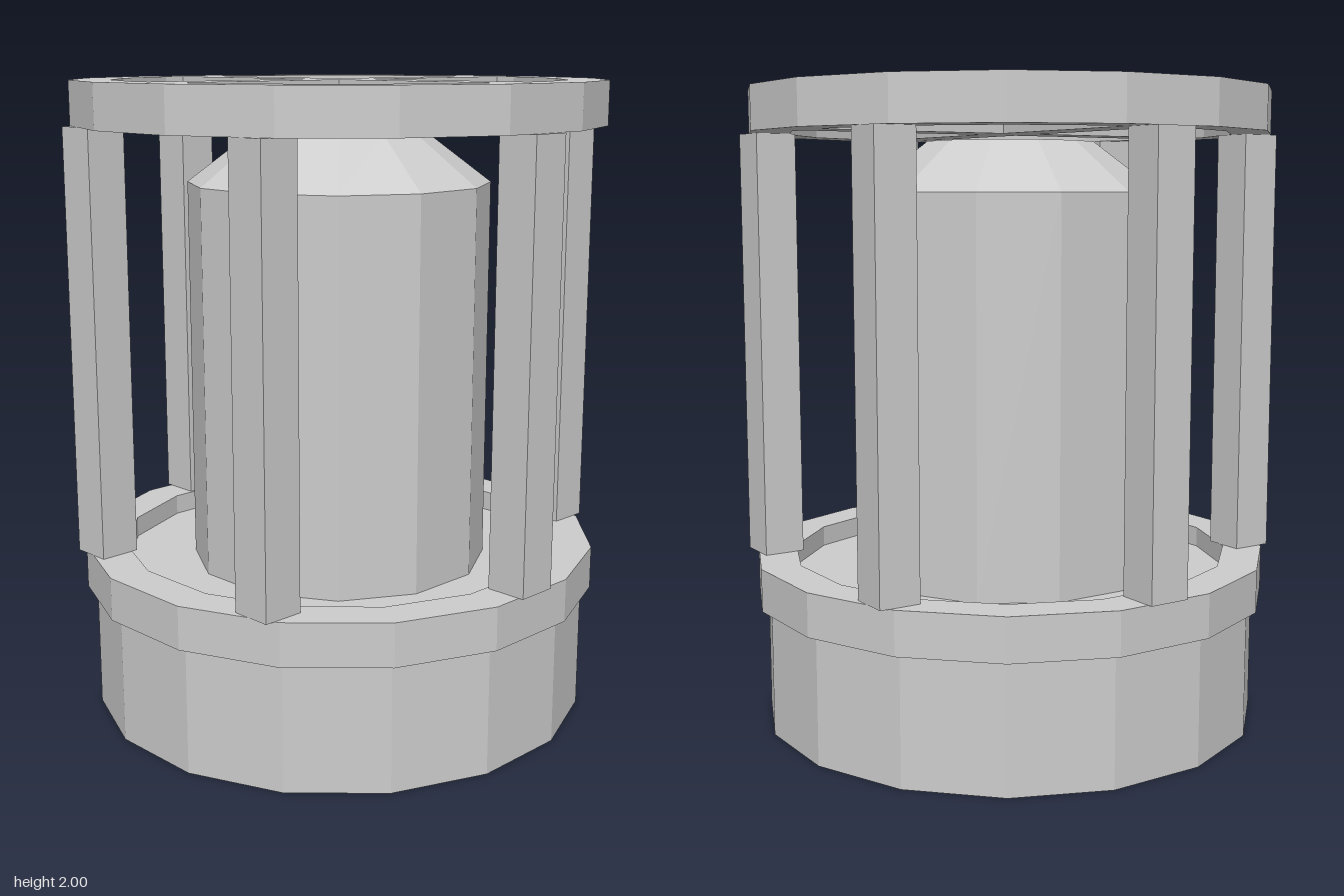
import * as THREE from 'three';

const metal = new THREE.MeshStandardMaterial({ color: 0xcccccc, flatShading: true });
metal.name = 'greyMetal';

const RING_SIDES = 16, RING_OUTER = 0.825, RING_INNER = 0.7, RING_HEIGHT = 0.135;
const BAR = 0.13; // width of posts and cross bars
const FLOOR = 0.47, LOWER_RING_Y = 0.4, UPPER_RING_Y = 2 - RING_HEIGHT;

function addMesh(group, name, geometry, x = 0, y = 0, z = 0) {
  const mesh = new THREE.Mesh(geometry, metal);
  mesh.name = name;
  mesh.position.set(x, y, z);
  group.add(mesh);
  return mesh;
}

// Corners of a polygon whose flat sides face the axes
function corners(radius, from = 0, count = RING_SIDES) {
  return Array.from({ length: count }, (_, i) => {
    const a = ((from + i + 0.5) / RING_SIDES) * Math.PI * 2;
    return new THREE.Vector2(Math.cos(a) * radius, Math.sin(a) * radius);
  });
}

// Flat slab with holes, lying on the xz plane
function ringGeometry(holes) {
  const shape = new THREE.Shape(corners(RING_OUTER));
  shape.holes = holes.map((points) => new THREE.Path(points));
  return new THREE.ExtrudeGeometry(shape, { depth: RING_HEIGHT, bevelEnabled: false })
    .rotateX(-Math.PI / 2);
}

// Prism or tapered prism with flat sides facing the axes, standing on y = 0
function prism(top, bottom, height, sides) {
  return new THREE.CylinderGeometry(top, bottom, height, sides)
    .rotateY(Math.PI / sides)
    .translate(0, height / 2, 0);
}

export function createModel() {
  const model = new THREE.Group();
  model.name = 'cagedCylinder';

  // Base drum and the raised rim around its floor
  addMesh(model, 'base', prism(0.795, 0.795, FLOOR, RING_SIDES));
  addMesh(model, 'lowerRing', ringGeometry([corners(RING_INNER)]), 0, LOWER_RING_Y);

  // Upper ring: four quarter openings leave a cross
  const inner = RING_INNER * Math.cos(Math.PI / RING_SIDES);
  const quarter = [
    new THREE.Vector2(BAR / 2, BAR / 2),
    new THREE.Vector2(inner, BAR / 2),
    ...corners(RING_INNER, 0, 4),
    new THREE.Vector2(BAR / 2, inner),
  ];
  const openings = [0, 1, 2, 3].map((q) =>
    quarter.map((p) => p.clone().rotateAround(new THREE.Vector2(), (q * Math.PI) / 2)));
  addMesh(model, 'upperRing', ringGeometry(openings), 0, UPPER_RING_Y);

  // Inner canister with tapered cap
  addMesh(model, 'canister', prism(0.476, 0.476, 1.685 - FLOOR, 12), 0, FLOOR);
  addMesh(model, 'canisterCap', prism(0.268, 0.476, 0.157, 12), 0, 1.685);

  // Six square posts around the cage
  const posts = new THREE.Group();
  posts.name = 'posts';
  const postBottom = LOWER_RING_Y + RING_HEIGHT;
  const postHeight = UPPER_RING_Y - postBottom;
  const postGeometry = new THREE.BoxGeometry(BAR, postHeight, BAR);
  for (let i = 0; i < 6; i++) {
    const a = (i * Math.PI) / 3;
    addMesh(posts, 'post', postGeometry,
      Math.cos(a) * 0.76, postBottom + postHeight / 2, Math.sin(a) * 0.76);
  }
  model.add(posts);

  return model;
}
